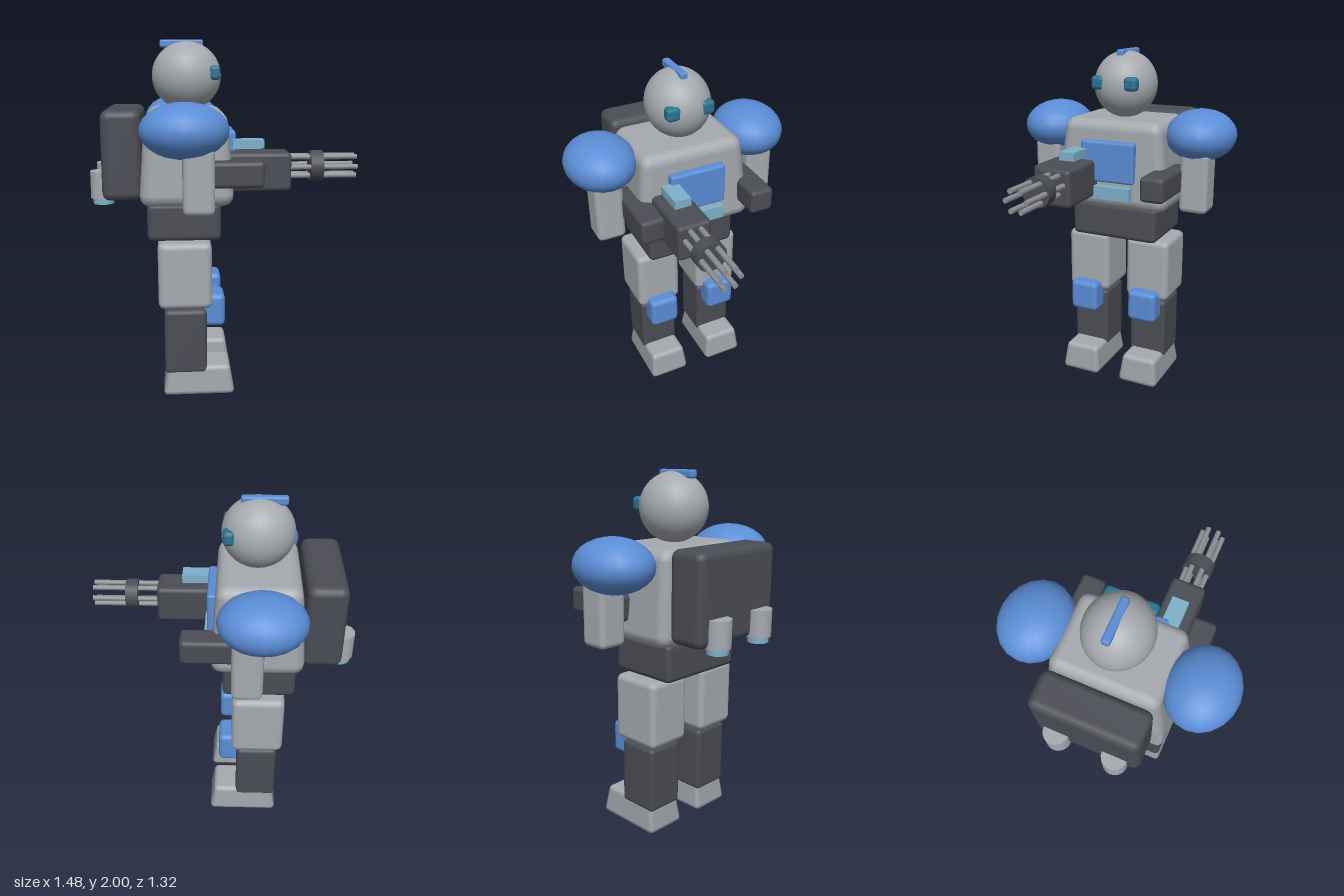
import * as THREE from 'three';
import { RoundedBoxGeometry } from 'three/addons/geometries/RoundedBoxGeometry.js';

const mat = (name, color) => {
  const m = new THREE.MeshStandardMaterial({ color });
  m.name = name;
  return m;
};

export function createModel() {
  const model = new THREE.Group();
  model.name = 'gunnerRobot';
  const armour = mat('light grey armour', 0xa6aaaf);
  const frame = mat('dark grey frame', 0x4b4d55);
  const blue = mat('blue plating', 0x5a8dd6);
  const glow = mat('pale blue light', 0x7db1cb);
  const teal = mat('teal lens', 0x2b7391);
  const steel = mat('barrel steel', 0x8d9094);

  const add = (name, geometry, material, x = 0, y = 0, z = 0) => {
    const mesh = new THREE.Mesh(geometry, material);
    mesh.name = name;
    mesh.position.set(x, y, z);
    model.add(mesh);
    return mesh;
  };

  // Softened box given by its extents; taper = [x, z] scale of the top face
  const box = (name, material, [x0, x1], [y0, y1], [z0, z1], radius = 0.03, taper = null) => {
    const w = x1 - x0, h = y1 - y0, d = z1 - z0;
    const g = radius > 0 ? new RoundedBoxGeometry(w, h, d, 2, radius) : new THREE.BoxGeometry(w, h, d);
    if (taper) {
      const p = g.attributes.position;
      for (let i = 0; i < p.count; i++) {
        const t = p.getY(i) / h + 0.5;
        p.setX(i, p.getX(i) * (1 + (taper[0] - 1) * t));
        p.setZ(i, p.getZ(i) * (1 + (taper[1] - 1) * t));
      }
    }
    return add(name, g, material, (x0 + x1) / 2, (y0 + y1) / 2, (z0 + z1) / 2);
  };

  const ellipsoid = (name, material, [x, y, z], [rx, ry, rz], segments, rings) =>
    add(name, new THREE.SphereGeometry(1, segments, rings), material, x, y, z).scale.set(rx, ry, rz);

  // Head and crest
  ellipsoid('head', armour, [-0.2, 1.802, 0], [0.195, 0.19, 0.182], 32, 24);
  box('crest', blue, [-0.348, -0.105], [1.955, 2], [-0.022, 0.022], 0.012);

  // Torso, pelvis, chest details and backpack
  box('torso', armour, [-0.47, 0.05], [1.11, 1.62], [-0.355, 0.355], 0.065, [0.86, 0.84]);
  box('pelvis', frame, [-0.43, -0.02], [0.905, 1.12], [-0.27, 0.27], 0.03);
  box('chestPanel', blue, [-0.02, 0.068], [1.27, 1.505], [-0.165, 0.165], 0.015);
  box('chestLight', glow, [0.0, 0.085], [1.175, 1.25], [-0.148, 0.148], 0);
  box('backpack', frame, [-0.668, -0.45], [1.14, 1.63], [-0.3, 0.3], 0.045);

  for (const s of [1, -1]) {
    const side = s > 0 ? 'right' : 'left';
    const span = (a, b) => (s > 0 ? [a, b] : [-b, -a]);

    // Eye
    box(side + 'Eye', teal, [-0.08, -0.015], [1.78, 1.858], span(0.06, 0.14), 0.022);

    // Leg and foot
    box(side + 'Thigh', armour, [-0.375, -0.075], [0.525, 0.905], span(0.06, 0.33), 0.035);
    box(side + 'Shin', frame, [-0.345, -0.105], [0.13, 0.512], span(0.08, 0.31), 0.025);
    box(side + 'Knee', blue, [-0.125, 0], [0.405, 0.592], span(0.105, 0.283), 0.028);
    box(side + 'Foot', armour, [-0.358, 0.056], [0, 0.172], span(0.068, 0.322), 0.028, [0.86, 0.84]);

    // Shoulder and arm
    ellipsoid(side + 'Shoulder', blue, [-0.223, 1.537, s * 0.46], [0.232, 0.146, 0.2], 20, 14);
    box(side + 'UpperArm', armour, [-0.235, -0.07], [1.108, 1.46], span(0.387, 0.553), 0.03);
    box(side + 'Forearm', frame, [-0.2, 0.205], [1.222, 1.365], span(0.262, 0.402), 0.025);

    // Thruster
    add(side + 'Thruster', new THREE.CylinderGeometry(0.07, 0.07, 0.15, 20), armour, -0.67, 1.217, s * 0.167);
    add(side + 'ThrusterNozzle', new THREE.CylinderGeometry(0.057, 0.057, 0.05, 20), glow, -0.67, 1.135, s * 0.167);
  }

  // Rotary gun: body, sight, ring of barrels and collar
  const gunY = 1.31, gunZ = 0.17;
  box('gunBody', frame, [0, 0.367], [1.18, 1.395], [0.073, 0.268], 0.025);
  box('gunSight', glow, [0.045, 0.22], [1.412, 1.46], [0.123, 0.218], 0);
  const barrel = new THREE.CylinderGeometry(0.015, 0.015, 0.4, 10).rotateZ(Math.PI / 2);
  for (let i = 0; i < 6; i++) {
    const a = (i * Math.PI) / 3;
    add('barrel' + (i + 1), barrel, steel, 0.54, gunY + 0.06 * Math.sin(a), gunZ + 0.06 * Math.cos(a));
  }
  const collar = new THREE.CylinderGeometry(0.085, 0.085, 0.072, 16).rotateZ(Math.PI / 2);
  add('barrelCollar', collar, frame, 0.515, gunY, gunZ);

  return model;
}
